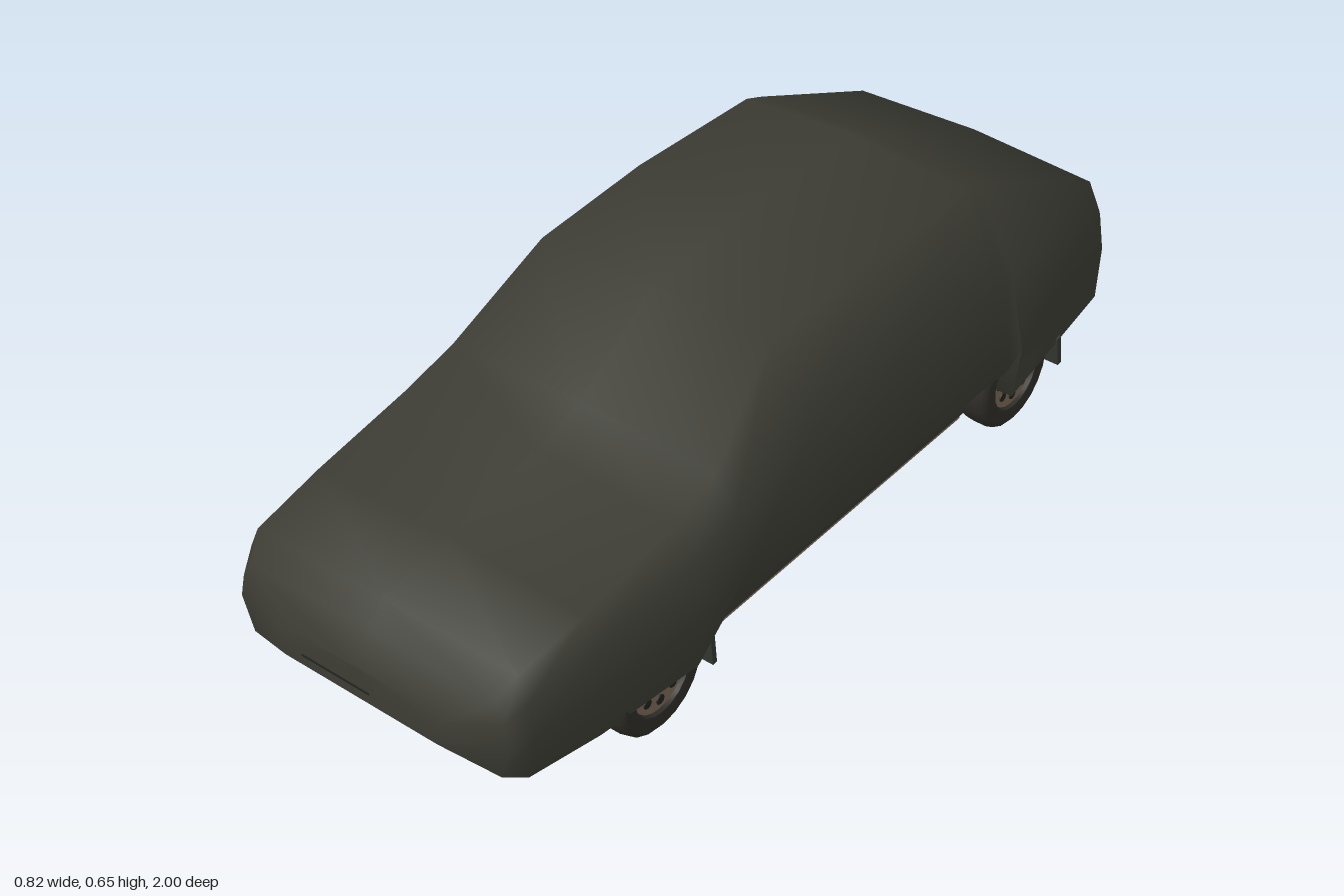
import * as THREE from 'three';
import { toCreasedNormals } from 'three/addons/utils/BufferGeometryUtils.js';

const mat = (name, color, side = THREE.FrontSide) => {
  const m = new THREE.MeshStandardMaterial({ color, side });
  m.name = name;
  return m;
};

export function createModel() {
  const cloth = mat('cover cloth', 0x3d3d35, THREE.DoubleSide);
  const rubber = mat('tyre rubber', 0x2f2e29);
  const metal = mat('rim metal', 0x7d6a5a);
  const under = mat('underbody', 0x22241f);
  const chassis = mat('chassis', 0x343831);
  const sillPaint = mat('sill paint', 0x8a7765);
  const rust = mat('exhaust rust', 0x6a3a33);
  const darkRust = mat('dark rust', 0x3f2320);

  const root = new THREE.Group();
  root.name = 'coveredCar';
  const add = (name, geo, material, x = 0, y = 0, z = 0, parent = root) => {
    const m = new THREE.Mesh(geo, material);
    m.name = name;
    m.position.set(x, y, z);
    parent.add(m);
    return m;
  };
  const box = (name, material, w, h, d, x, y, z) =>
    add(name, new THREE.BoxGeometry(w, h, d), material, x, y, z);

  // Fabric cover: sections from nose to tail, 8 values each.
  // z, ridge height, roof edge (x, y), shoulder x, belt x, hem (x, y)
  const sections = [
    [1.0, .252, .16, .248, .2, .22, .19, .175],
    [.965, .325, .3, .312, .322, .335, .31, .14],
    [.92, .367, .32, .358, .343, .353, .335, .12],
    [.75, .396, .33, .384, .358, .376, .36, .11],
    [.5, .44, .33, .425, .373, .405, .388, .115],
    [.37, .48, .325, .462, .374, .4, .352, .13],
    [.15, .622, .28, .612, .372, .395, .345, .13],
    [-.15, .647, .28, .628, .372, .395, .345, .132],
    [-.5, .637, .275, .618, .37, .39, .345, .132],
    [-.535, .624, .273, .606, .37, .393, .35, .132],
    [-.555, .615, .273, .598, .37, .408, .392, .115],
    [-.965, .42, .3, .405, .33, .345, .34, .12],
    [-.985, .38, .298, .37, .322, .335, .33, .125],
    [-1.0, .25, .31, .247, .318, .32, .31, .15],
  ];
  // Cloth tucks in low between the wheels and hangs straighter over them
  const rings = sections.map(([z, ridge, rx, ry, sx, bx, hx, hy]) => {
    const belt = z > -.54 && z < .3 ? .2 : hy + Math.min(.13, (ry - hy) * .45);
    const shoulder = Math.min(.42, belt + (ry - belt) * .6);
    const half = [[rx, ry], [sx, shoulder], [bx, belt], [hx, hy]];
    const mirrored = half.map(([x, y]) => [-x, y]).reverse();
    return [...mirrored, [0, ridge], ...half].map(([x, y]) => [x, y, z]);
  });
  // Nose and tail close onto the centre line
  const close = ring => ring.map(([, y, z]) => [0, y, z]);
  rings.unshift(close(rings[0]));
  rings.push(close(rings[rings.length - 1]));
  const idx = [], n = rings[0].length;
  for (let j = 0; j < rings.length - 1; j++) {
    for (let i = 0; i < n - 1; i++) {
      const a = j * n + i, b = a + 1, c = a + n, d = c + 1;
      idx.push(a, b, c, b, d, c);
    }
  }
  const shell = new THREE.BufferGeometry();
  shell.setAttribute('position', new THREE.Float32BufferAttribute(rings.flat(2), 3));
  shell.setIndex(idx);
  add('fabricCover', toCreasedNormals(shell, 1.3), cloth);

  // Exposed corner lamp and the fold across the nose
  const lamp = box('cornerLamp', sillPaint, .006, .045, .06, -.371, .245, .82);
  lamp.rotation.y = .25;
  box('noseFold', under, .17, .005, .004, -.06, .2, .999);

  // Wheels: rounded tyre, rim, hub and slots
  const tyreProfile = [[.078, -.036], [.11, -.038], [.121, -.03], [.125, -.015],
    [.125, .015], [.121, .03], [.11, .038], [.08, .036], [.076, .026]]
    .map(([r, y]) => new THREE.Vector2(r, y));
  const tyre = toCreasedNormals(new THREE.LatheGeometry(tyreProfile, 20), .7);
  const rim = new THREE.CylinderGeometry(.079, .079, .056, 20);
  const hub = new THREE.CylinderGeometry(.02, .026, .012, 10);
  const slot = new THREE.CylinderGeometry(.011, .011, .004, 8);
  for (const s of [1, -1]) {
    for (const [end, z] of [['front', .58], ['rear', -.61]]) {
      const wheel = new THREE.Group();
      wheel.name = end + 'Wheel';
      wheel.position.set(s * .331, .125, z);
      wheel.rotation.z = -s * Math.PI / 2;
      root.add(wheel);
      add('tyre', tyre, rubber, 0, 0, 0, wheel);
      add('rim', rim, metal, 0, 0, 0, wheel);
      add('hub', hub, metal, 0, .033, 0, wheel);
      for (let k = 0; k < 8; k++) {
        const a = k * Math.PI / 4;
        add('rimSlot', slot, under, Math.cos(a) * .053, .029, Math.sin(a) * .053, wheel);
      }
    }
    // Mud flaps, rocker panels, floor rails and suspension arms
    const frontFlap = box('frontMudFlap', chassis, .13, .07, .012, s * .305, .092, .43);
    const rearFlap = box('rearMudFlap', chassis, .13, .075, .014, s * .305, .094, -.778);
    frontFlap.rotation.x = .1;
    rearFlap.rotation.x = .15;
    box('rockerPanel', chassis, .03, .035, .86, s * .325, .126, -.02);
    box('floorRail', chassis, .04, .012, .95, s * .2, .106, .02);
    box('trailingArm', chassis, .035, .022, .26, s * .23, .11, -.5);
    box('controlArm', chassis, .17, .018, .05, s * .21, .11, .58);
  }
  // Painted sill edge under the left rocker
  box('sillEdge', sillPaint, .028, .008, .84, .325, .106, -.02);

  // Floor pan and cross members
  box('floorPan', under, .64, .02, .88, 0, .122, -.01);
  box('frontFloor', under, .54, .02, .46, 0, .165, .65);
  box('rearFloor', under, .54, .02, .34, 0, .16, -.61);
  box('bootFloor', under, .64, .02, .2, 0, .15, -.87);
  box('transmissionTunnel', chassis, .11, .012, .7, 0, .106, .05);
  box('engineSump', chassis, .16, .06, .18, -.02, .125, .62);
  box('frontCrossMember', chassis, .5, .024, .05, 0, .104, .45);
  box('crossMemberFace', sillPaint, .42, .01, .008, 0, .087, .47);
  box('rearCrossMember', chassis, .5, .03, .05, 0, .118, -.42);
  box('fuelTank', chassis, .26, .03, .18, -.12, .13, -.87);
  const axle = add('rearAxle', new THREE.CylinderGeometry(.016, .016, .6, 10), chassis, 0, .115, -.61);
  axle.rotation.z = Math.PI / 2;
  box('rearFloorPatch', darkRust, .12, .006, .12, -.19, .148, -.51);
  box('sideFloorPatch', darkRust, .08, .006, .16, -.27, .11, .22);

  // Front lip: tapered valance below the nose
  const lipShape = new THREE.Shape([[-.3, .145], [-.22, .093], [.22, .093], [.3, .145]]
    .map(([x, y]) => new THREE.Vector2(x, y)));
  add('frontLip', new THREE.ExtrudeGeometry(lipShape, { depth: .13, bevelEnabled: false }), under, 0, 0, .78);

  // Exhaust line with two silencers
  const path = new THREE.CatmullRomCurve3([[.12, .12, .68], [.1, .11, .5], [0, .1, .3], [0, .1, .1],
    [.01, .1, -.25], [.13, .11, -.45], [.18, .135, -.65], [.19, .138, -.95]]
    .map(p => new THREE.Vector3(...p)));
  add('exhaustPipe', new THREE.TubeGeometry(path, 40, .011, 8), rust);
  for (const [name, x, y, z, len, r] of [['middleSilencer', 0, .108, .12, .22, .038],
    ['rearSilencer', .19, .136, -.85, .18, .045]]) {
    const can = add(name, new THREE.CylinderGeometry(r, r, len, 14), rust, x, y, z);
    can.rotation.x = Math.PI / 2;
    can.scale.z = .5;
  }
  return root;
}
